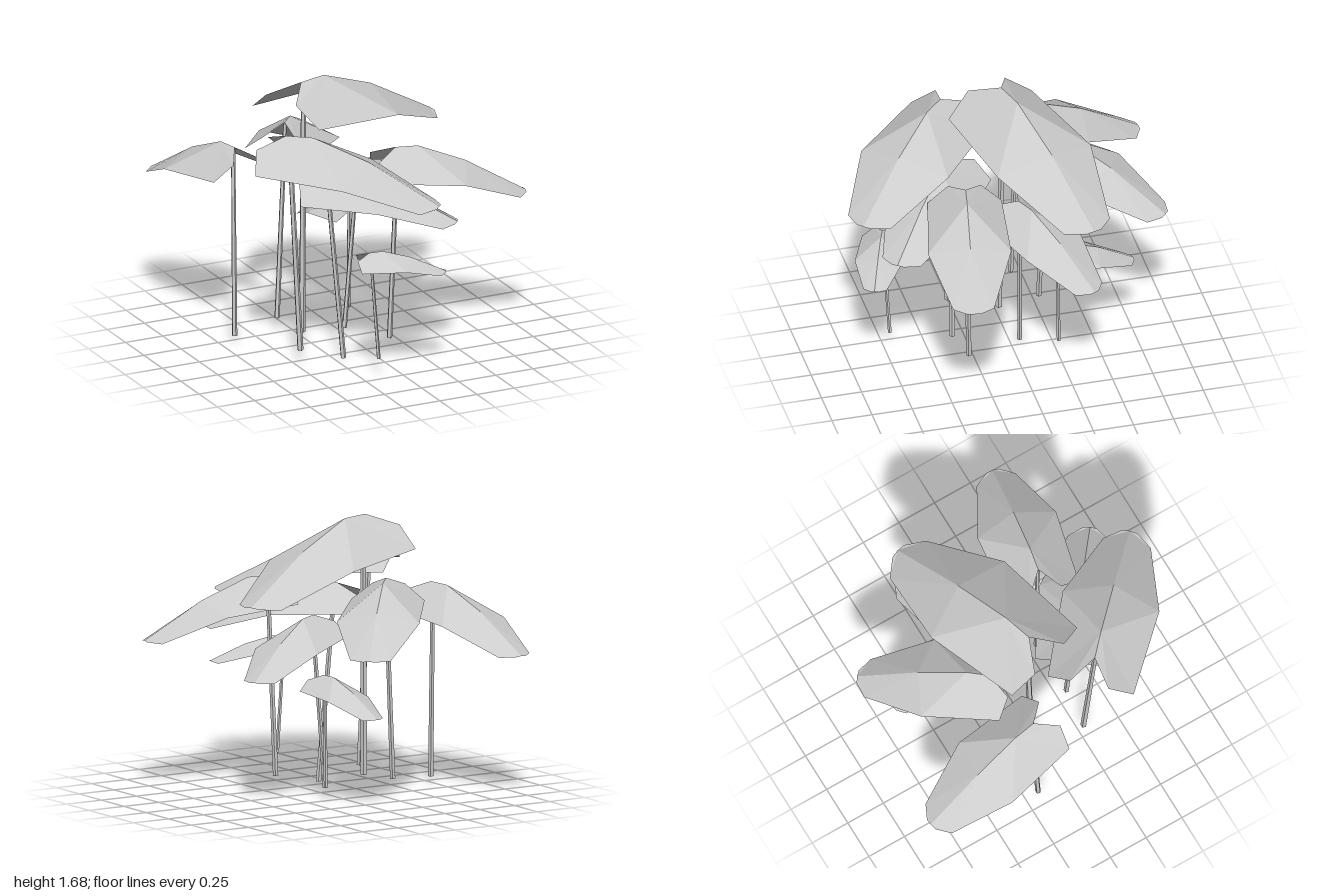
import * as THREE from 'three';

// Half leaf, unit length: [along, across, height] measured from the stalk top
const RIDGE = [[-0.02, 0, 0], [0.16, 0, 0], [0.53, 0, -0.14], [1.0, 0, -0.405]];
const EDGE = [[-0.18, 0.125, -0.07], [-0.14, 0.28, -0.19], [0.455, 0.315, -0.235], [0.92, 0.155, -0.415], [0.995, 0.05, -0.41]];
const POINTS = [...RIDGE, ...EDGE];
// Triangles of one half: ridge points 0-3, edge points 4-8
const FACES = [[0, 4, 1], [4, 5, 1], [1, 5, 6], [1, 6, 2], [2, 6, 7], [2, 7, 3], [3, 7, 8]];

// Each plant: foot of the stalk, top of the stalk, tip of the leaf
const PLANTS = [
  { foot: [-0.31, 0.08, 0.0], top: [-0.29, 1.68, -0.02], tip: [0.71, 1.25, -0.33] },
  { foot: [-0.46, 0.08, 0.28], top: [-0.55, 1.48, 0.31], tip: [0.14, 1.13, 0.96] },
  { foot: [-0.68, 0.06, -0.17], top: [-0.67, 1.26, -0.21], tip: [-0.80, 0.91, -0.995] },
  { foot: [0.13, 0.07, 0.30], top: [0.17, 1.30, 0.33], tip: [0.955, 0.95, 0.48] },
  { foot: [-0.19, 0.0, 0.32], top: [-0.30, 1.21, 0.31], tip: [0.34, 0.95, 0.80] },
  { foot: [0.0, 0.04, -0.05], top: [0.08, 1.10, -0.03], tip: [0.69, 0.79, -0.34] },
  { foot: [-0.35, 0.09, -0.26], top: [-0.28, 1.33, -0.29], tip: [0.23, 0.96, -0.90] },
  { foot: [-0.15, 0.12, 0.72], top: [-0.22, 0.82, 0.75], tip: [0.21, 0.69, 0.91] },
  { foot: [0.13, 0.08, -0.26], top: [0.13, 0.77, -0.25], tip: [0.07, 0.565, -0.74] },
];

// Folded leaf with two back lobes, drooping towards a blunt tip
function leafGeometry(top, tip) {
  const dx = tip.x - top.x, dz = tip.z - top.z;
  const length = Math.hypot(dx, dz);
  const droop = (tip.y - top.y) / length + 0.405;
  const place = ([u, v, w], side) => [
    top.x + dx * u - dz * v * side,
    top.y + length * (w + droop * Math.max(u, 0)),
    top.z + dz * u + dx * v * side,
  ];
  const positions = [];
  for (const side of [1, -1]) {
    for (const [a, b, c] of FACES) {
      const order = side > 0 ? [a, b, c] : [a, c, b];
      for (const i of order) positions.push(...place(POINTS[i], side));
    }
  }
  const geometry = new THREE.BufferGeometry();
  geometry.setAttribute('position', new THREE.Float32BufferAttribute(positions, 3));
  geometry.computeVertexNormals();
  return geometry;
}

// Thin straight stalk leaning from foot to top
function stalkMesh(foot, top, radius, material) {
  const along = top.clone().sub(foot);
  const mesh = new THREE.Mesh(new THREE.CylinderGeometry(radius * 0.8, radius, along.length(), 5), material);
  mesh.position.copy(foot).addScaledVector(along, 0.5);
  mesh.quaternion.setFromUnitVectors(new THREE.Vector3(0, 1, 0), along.normalize());
  mesh.name = 'stalk';
  return mesh;
}

export function createModel() {
  const model = new THREE.Group();
  model.name = 'leafCluster';
  const stalkMaterial = new THREE.MeshStandardMaterial({ color: 0xcccccc, flatShading: true });
  const leafMaterial = new THREE.MeshStandardMaterial({ color: 0xcccccc, flatShading: true, side: THREE.DoubleSide });

  PLANTS.forEach((p, i) => {
    const [foot, top, tip] = [p.foot, p.top, p.tip].map((v) => new THREE.Vector3(...v));
    const plant = new THREE.Group();
    plant.name = `plant${i + 1}`;

    const leaf = new THREE.Mesh(leafGeometry(top, tip), leafMaterial);
    leaf.name = 'leaf';
    const length = Math.hypot(tip.x - top.x, tip.z - top.z);
    const stalkTop = top.clone();
    stalkTop.y -= 0.015 * length;
    plant.add(leaf, stalkMesh(foot, stalkTop, 0.005 + 0.015 * length, stalkMaterial));
    model.add(plant);
  });
  return model;
}
